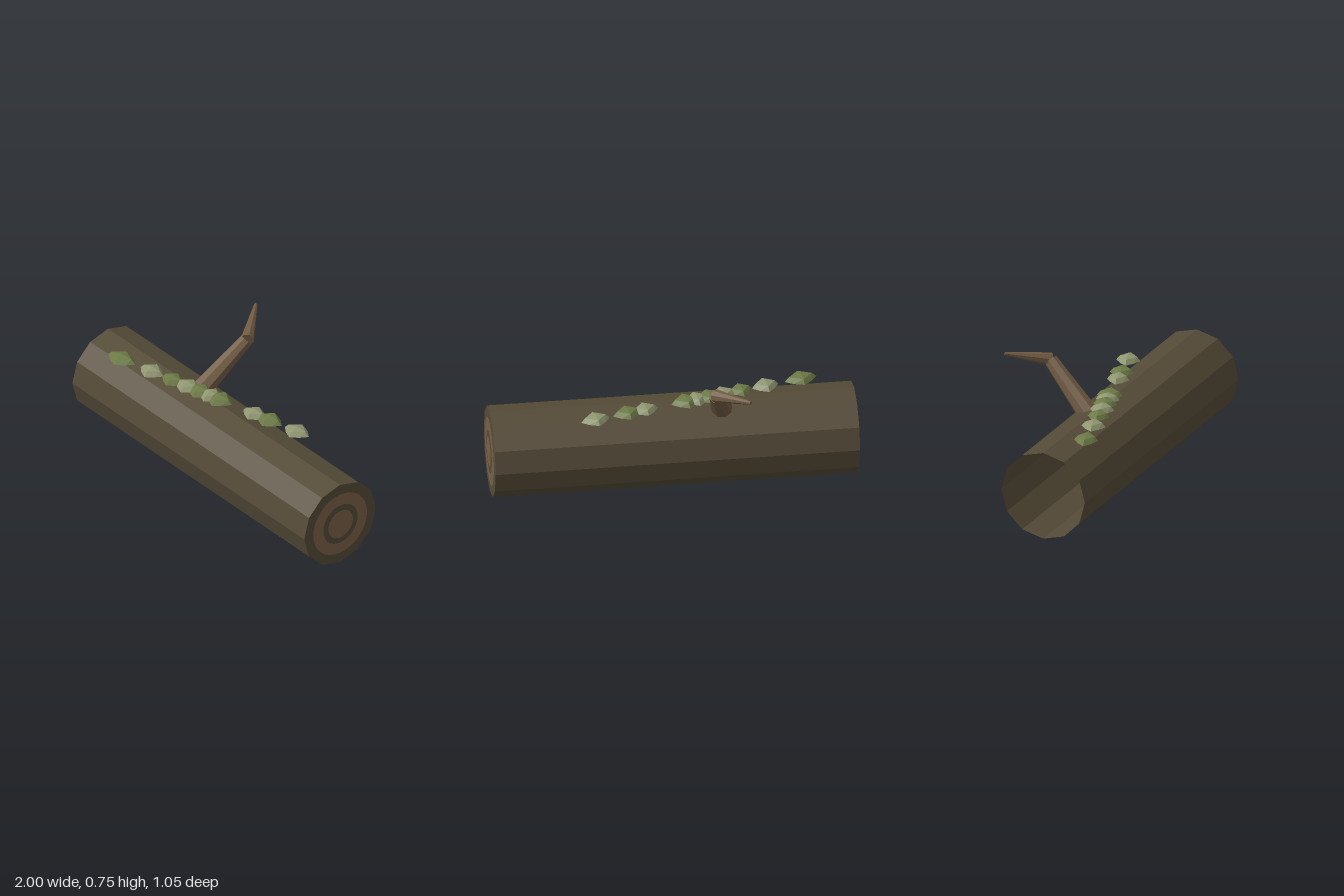
import * as THREE from 'three';

const mat = (name, color, extra = {}) => {
  const m = new THREE.MeshStandardMaterial({ color, flatShading: true, ...extra });
  m.name = name;
  return m;
};

// Tapered straight limb between two points
function limb(name, from, to, r0, r1, material) {
  const a = new THREE.Vector3(...from), b = new THREE.Vector3(...to);
  const dir = b.clone().sub(a);
  const mesh = new THREE.Mesh(new THREE.CylinderGeometry(r1, r0, dir.length(), 8), material);
  mesh.name = name;
  mesh.position.copy(a).add(b).multiplyScalar(0.5);
  mesh.quaternion.setFromUnitVectors(new THREE.Vector3(0, 1, 0), dir.normalize());
  return mesh;
}

// Low faceted clump: pointed star outline, domed top, nearly flat underside
function clumpGeometry() {
  const g = new THREE.OctahedronGeometry(1, 1);
  const p = g.attributes.position;
  for (let i = 0; i < p.count; i++) {
    const x = p.getX(i), y = p.getY(i), z = p.getZ(i);
    const k = Math.abs(x) > 0.1 && Math.abs(z) > 0.1 ? 0.8 : 1;
    p.setXYZ(i, x * k, y < 0 ? y * 0.3 : y, z * k);
  }
  g.computeVertexNormals();
  return g;
}

export function createModel() {
  const model = new THREE.Group();
  model.name = 'fallenLog';
  const bark = mat('bark', 0x544a37, { side: THREE.DoubleSide });
  const wood = mat('cut wood', 0x785f46);
  const branchBark = mat('branch bark', 0x705a42);
  const darkMoss = mat('moss green', 0x6c7a45);
  const paleMoss = mat('pale moss', 0x8f9670);

  // Hollow trunk, lying on its side and turned a little
  const length = 1.94, radius = 0.243;
  const trunk = new THREE.Group();
  trunk.name = 'trunk';
  trunk.position.set(0, radius + 0.003, 0.055);
  trunk.rotation.y = -0.239;
  const shell = new THREE.Mesh(
    new THREE.CylinderGeometry(radius, radius, length, 12, 1, true).rotateZ(-Math.PI / 2), bark);
  shell.name = 'barkShell';
  trunk.add(shell);

  // Sawn end with growth rings
  [[radius, bark, 12], [0.183, wood, 32], [0.117, bark, 32], [0.083, wood, 32]]
    .forEach(([r, m, sides], i) => {
      const disc = new THREE.Mesh(new THREE.CircleGeometry(r, sides).rotateY(Math.PI / 2), m);
      disc.name = 'endRing' + i;
      disc.position.x = length / 2 + i * 0.002;
      trunk.add(disc);
    });
  model.add(trunk);

  // Bent broken branch
  model.add(limb('branch', [-0.25, 0.42, -0.045], [-0.115, 0.685, -0.295], 0.06, 0.038, branchBark));
  model.add(limb('twig', [-0.11, 0.688, -0.295], [-0.225, 0.747, -0.52], 0.036, 0.009, branchBark));

  // Row of moss clumps: x, half length, half depth
  const clump = clumpGeometry();
  [[-0.71, 0.09, 0.065], [-0.51, 0.075, 0.065], [-0.37, 0.07, 0.06], [-0.27, 0.08, 0.065],
    [-0.19, 0.08, 0.065], [-0.12, 0.07, 0.065], [-0.06, 0.08, 0.07], [0.17, 0.075, 0.06],
    [0.27, 0.08, 0.065], [0.45, 0.08, 0.065]].forEach(([x, w, d], i) => {
    const moss = new THREE.Mesh(clump, i % 2 ? paleMoss : darkMoss);
    moss.name = 'moss' + i;
    moss.position.set(x, 0.486, 0.012);
    moss.scale.set(w, 0.034, d);
    model.add(moss);
  });
  return model;
}
